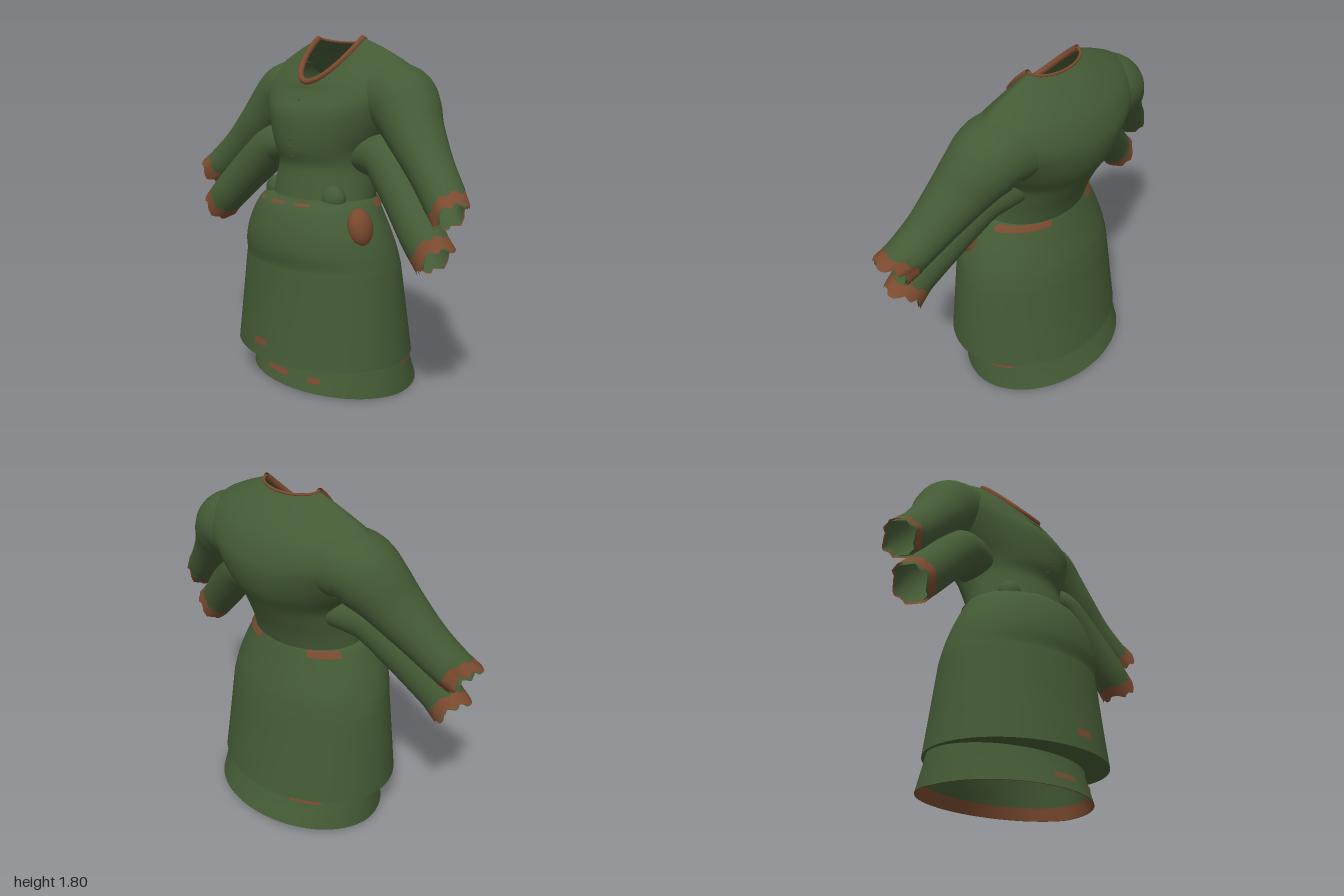
import * as THREE from 'three';

const mat = (name, color) => {
  const m = new THREE.MeshStandardMaterial({ color, side: THREE.DoubleSide });
  m.name = name;
  return m;
};

// Smooth Catmull-Rom blend of a table of rows; t runs in row units
function rowAt(rows, t) {
  const n = rows.length - 1;
  const i = Math.min(Math.floor(t), n - 1), f = t - i;
  const [p, a, b, q] = [i - 1, i, i + 1, i + 2].map(k => rows[Math.max(0, Math.min(n, k))]);
  return a.map((v, k) => 0.5 * (2 * v + (b[k] - p[k]) * f
    + (2 * p[k] - 5 * v + 4 * b[k] - q[k]) * f * f
    + (3 * v - p[k] - 3 * b[k] + q[k]) * f * f * f));
}

// Surface through a list of point rings
function loft(rings, closed = true) {
  const pos = [], idx = [], w = rings[0].length;
  rings.forEach(r => r.forEach(p => pos.push(p.x, p.y, p.z)));
  for (let i = 0; i < rings.length - 1; i++) {
    for (let j = 0; j < (closed ? w : w - 1); j++) {
      const a = i * w + j, b = i * w + (j + 1) % w;
      idx.push(a, a + w, b, b, a + w, b + w);
    }
  }
  const g = new THREE.BufferGeometry();
  g.setAttribute('position', new THREE.Float32BufferAttribute(pos, 3));
  g.setIndex(idx);
  g.computeVertexNormals();
  return g;
}

// Garment section row: half width, front z, back z, middle z, side y, front y, back y
function bodyPoint([hw, zf, zb, zc, ys, yf, yb], a, grow = 0) {
  const s = Math.sin(a), depth = s > 0 ? zf - zc : zc - zb;
  return new THREE.Vector3(
    (hw + grow) * Math.cos(a),
    ys + ((s > 0 ? yf : yb) - ys) * Math.abs(s) ** 1.1,
    zc + s * (depth + grow));
}
const bodyRing = (row, grow = 0, a0 = 0, a1 = Math.PI * 2, n = 64, closed = true) =>
  Array.from({ length: closed ? n : n + 1 }, (_, j) => bodyPoint(row, a0 + (a1 - a0) * j / n, grow));

function bodyLoft(rows, steps = 4) {
  const n = (rows.length - 1) * steps;
  return loft(Array.from({ length: n + 1 }, (_, i) => bodyRing(rowAt(rows, i / steps))));
}

// Thin painted strip lying on a garment surface
function strip(rows, t0, t1, a0, a1, grow = 0.006) {
  return loft([t0, (t0 + t1) / 2, t1].map(t => bodyRing(rowAt(rows, t), grow, a0, a1, 12, false)), false);
}

const flat = (hw, zf, zb, y) => [hw, zf, zb, (zf + zb) / 2, y, y, y];

const SKIRT = [
  flat(0.525, 0.44, -0.40, 0.175), flat(0.505, 0.41, -0.36, 0.4), flat(0.483, 0.385, -0.325, 0.62),
  flat(0.475, 0.38, -0.315, 0.67), flat(0.46, 0.39, -0.3, 0.74), flat(0.43, 0.38, -0.27, 0.83),
  flat(0.385, 0.35, -0.24, 0.92), flat(0.345, 0.31, -0.22, 0.98), flat(0.31, 0.24, -0.21, 0.995),
];
const UNDERSKIRT = [
  [0.505, 0.34, -0.44, -0.05, 0, 0.01, 0.02],
  flat(0.485, 0.285, -0.375, 0.16), flat(0.46, 0.25, -0.33, 0.3),
];
const BODICE = [
  flat(0.315, 0.255, -0.215, 0.98), flat(0.31, 0.235, -0.24, 1.06), flat(0.31, 0.215, -0.28, 1.15),
  flat(0.325, 0.238, -0.32, 1.23), flat(0.385, 0.24, -0.37, 1.32), flat(0.45, 0.225, -0.395, 1.42),
  [0.51, 0.18, -0.39, -0.1, 1.55, 1.48, 1.5], [0.47, 0.148, -0.35, -0.1, 1.655, 1.525, 1.6],
  [0.32, 0.138, -0.27, -0.1, 1.735, 1.55, 1.69], [0.17, 0.125, -0.17, -0.1, 1.79, 1.57, 1.765],
];

// Sleeve rows: centre x, y, z, radius across, radius in depth
const UPPER = [
  [0.28, 1.5, -0.12, 0.16, 0.2], [0.42, 1.49, -0.11, 0.175, 0.19], [0.51, 1.42, -0.09, 0.16, 0.175],
  [0.6, 1.325, -0.05, 0.132, 0.15], [0.74, 1.185, 0, 0.107, 0.12], [0.87, 1.065, 0.05, 0.098, 0.108],
  [0.93, 1.015, 0.08, 0.09, 0.1],
];
const LOWER = [
  [0.22, 1.2, -0.05, 0.08, 0.12], [0.36, 1.215, -0.03, 0.11, 0.13], [0.46, 1.19, -0.01, 0.118, 0.13],
  [0.6, 1.07, 0.03, 0.115, 0.12], [0.75, 0.92, 0.08, 0.108, 0.108], [0.81, 0.86, 0.095, 0.105, 0.102],
  [0.865, 0.805, 0.1, 0.102, 0.1],
];

// Ring of a sleeve, with a ragged push along the arm
function sleeveRing(rows, t, side, rag, grow = 0) {
  const end = rows.length - 1;
  const [x, y, z, r, rz] = rowAt(rows, t);
  const p = rowAt(rows, Math.max(0, t - 0.05)), q = rowAt(rows, Math.min(end, t + 0.05));
  const d = new THREE.Vector3(q[0] - p[0], q[1] - p[1], 0).normalize();
  return Array.from({ length: 32 }, (_, j) => {
    const a = j / 32 * Math.PI * 2, c = Math.cos(a) * (r + grow);
    const k = rag * (Math.sin(3 * a + 1) + 0.7 * Math.sin(7 * a) + 0.4 * Math.sin(11 * a + 2));
    return new THREE.Vector3(side * (x - d.y * c + d.x * k), y + d.x * c + d.y * k,
      z - side * Math.sin(a) * (rz + grow));
  });
}

export function createModel() {
  const green = mat('green cloth', 0x445a35);
  const brown = mat('brown trim', 0x7a4a2f);
  const model = new THREE.Group();
  const add = (name, geo, material, parent = model) => {
    const m = new THREE.Mesh(geo, material);
    m.name = name;
    parent.add(m);
    return m;
  };

  // Garment body
  add('bodice', bodyLoft(BODICE), green);
  add('overskirt', bodyLoft(SKIRT), green);
  add('underskirt', bodyLoft(UNDERSKIRT), green);
  add('overskirtUnderside', loft([bodyRing(flat(0.484, 0.283, -0.372, 0.18)), bodyRing(SKIRT[0])]), green);

  // Neck trim, broad in front and narrow behind
  for (const [name, a0, radius] of [['frontNeckTrim', 0, 0.016], ['backNeckTrim', Math.PI, 0.007]]) {
    const neck = new THREE.CatmullRomCurve3(bodyRing(BODICE[9], 0.004, a0, a0 + Math.PI, 24, false));
    add(name, new THREE.TubeGeometry(neck, 48, radius, 8), brown);
  }

  // Inner layer behind the front neckline, with a trimmed edge
  const inner = new THREE.Shape().absellipse(0, 0, 0.2, 0.14, 0, Math.PI, false);
  const layer = add('innerLayer', new THREE.ShapeGeometry(inner, 16), green);
  layer.rotation.x = Math.PI / 2;
  layer.position.set(0, 1.53, 0.01);
  add('innerLayerEdge', new THREE.BoxGeometry(0.26, 0.008, 0.01), brown).position.set(0, 1.532, 0.018);

  // Lining inside the hem
  add('hemLining', loft([0, 0.25, 0.5].map(t => bodyRing(rowAt(UNDERSKIRT, t), -0.008))), brown);
  add('hemEdge', loft([bodyRing(UNDERSKIRT[0], -0.008), bodyRing(UNDERSKIRT[0])]), brown);

  // Worn strips of belt and hem trim
  const across = (x0, x1, hw) => [Math.acos(x1 / hw), Math.acos(x0 / hw)];
  for (const [x0, x1] of [[-0.2, -0.13], [-0.06, 0.04], [0.11, 0.19]])
    add('beltStrip', strip(SKIRT, 6.8, 7.1, ...across(x0, x1, 0.345)), brown);
  add('sideBelt', strip(SKIRT, 6.55, 7.4, -1.2, -0.25), brown);
  add('backBelt', strip(SKIRT, 6.5, 7.4, Math.PI + 0.5, Math.PI + 1.05), brown);
  add('skirtStrip', strip(SKIRT, 0.36, 0.5, ...across(-0.07, 0.03, 0.52)), brown);
  for (const [x0, x1] of [[-0.1, 0.06], [0.19, 0.26]])
    add('hemStrip', strip(UNDERSKIRT, 0.4, 0.55, ...across(x0, x1, 0.5)), brown);
  for (const a of [-0.5, Math.PI + 0.75])
    add('underTrim', strip(UNDERSKIRT, 0.93, 1.08, a, a + 0.4), brown);

  // Pouch at the left hip
  const pouch = add('pouch', new THREE.SphereGeometry(1, 12, 8), brown);
  pouch.scale.set(0.052, 0.096, 0.07);
  pouch.position.set(0.392, 0.88, 0.12);
  pouch.rotation.z = 0.25;

  // Small fastenings down the chest
  for (const [y, z] of [[1.48, 0.178], [1.29, 0.238], [1.25, 0.237], [1.2, 0.226]]) {
    const b = add('button', new THREE.SphereGeometry(0.012, 8, 6), green);
    b.position.set(0, y, z);
    b.scale.z = 0.5;
  }

  for (const side of [1, -1]) {
    // Gathered cloth at the waist
    const knot = add('waistGather', new THREE.SphereGeometry(1, 16, 12), green);
    knot.scale.set(0.075, 0.07, 0.055);
    knot.position.set(side * 0.225, 1.0, 0.15);

    // Two hollow sleeves per side with ragged cuffs
    for (const [label, rows] of [['upper', UPPER], ['lower', LOWER]]) {
      const end = rows.length - 1, cut = end - 0.9, n = 28;
      const arm = new THREE.Group();
      arm.name = label + 'Sleeve';
      model.add(arm);
      add('sleeve', loft(Array.from({ length: n + 1 }, (_, i) =>
        sleeveRing(rows, cut * i / n, side, i === n ? 0.01 : 0))), green, arm);
      add('cuff', loft([0, 0.5, 1].map(f =>
        sleeveRing(rows, cut + (end - cut) * f, side, 0.01 + 0.005 * f, 0.003 * f))), brown, arm);
      add('cuffLining', loft([0, 0.5, 1].map(f =>
        sleeveRing(rows, cut + (end - cut) * f, side, 0.01 + 0.005 * f, -0.008))), green, arm);
    }
  }
  return model;
}
